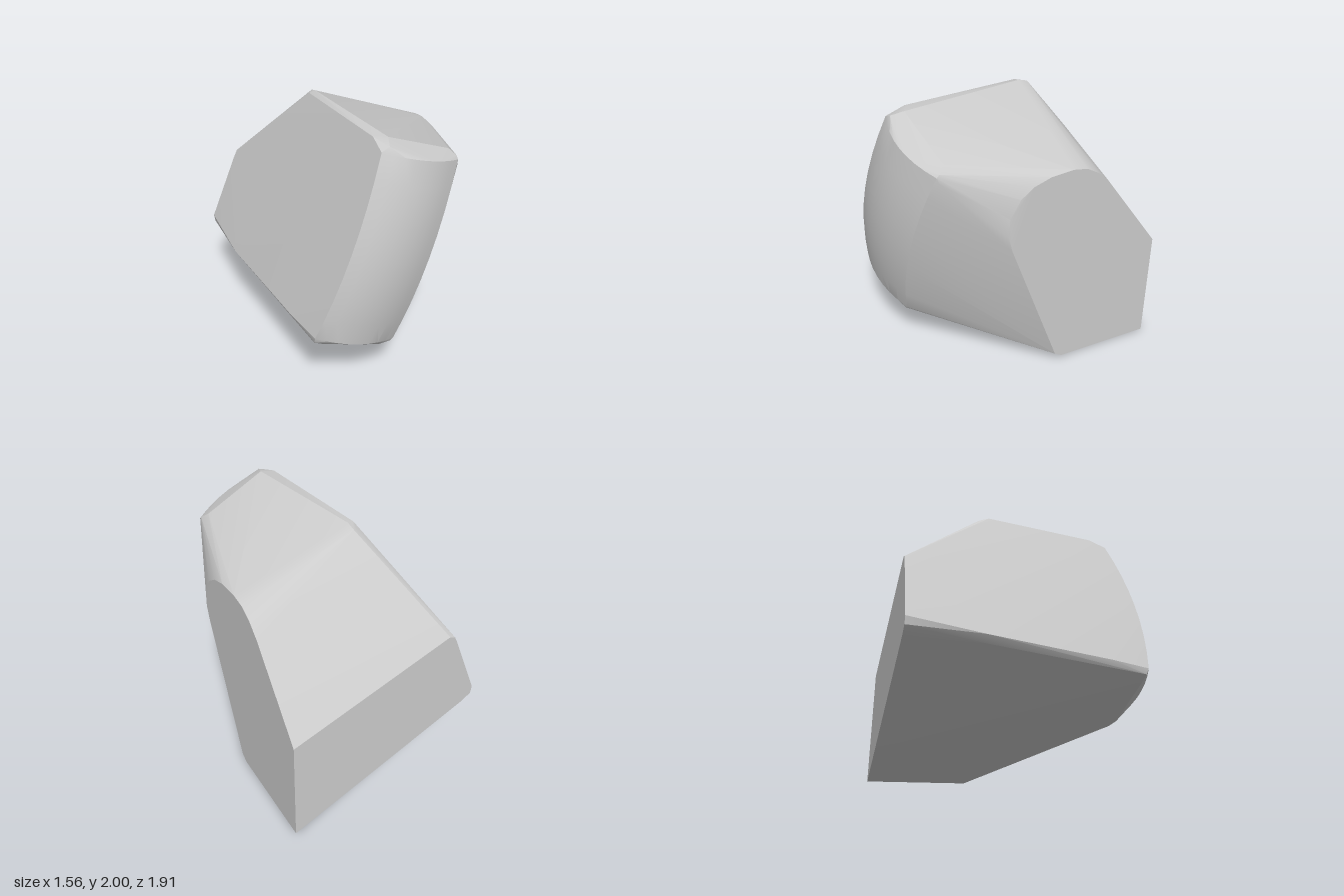
import * as THREE from 'three';
import { ConvexGeometry } from 'three/addons/geometries/ConvexGeometry.js';
import { toCreasedNormals } from 'three/addons/utils/BufferGeometryUtils.js';

const X = 0.78, Z = -0.955;
const V = (x, y, z) => new THREE.Vector3(x, y, z);

// flat cut on the model's left, outline as [z, y]
const sideCut = [
  [Z, 0], [-0.19, 0.04], [-0.13, 0.08], [0.26, 1.16], [0.29, 1.28], [0.28, 1.42], [0.2, 1.55],
  [0.1, 1.62], [-0.03, 1.66], [-0.2, 1.67], [-0.31, 1.65], [-0.41, 1.59], [-0.5, 1.5], [Z, 0.88],
].map(([z, y]) => V(X, y, z));

// flat cut at the back, outline as [x, y]
const backCut = [
  [-0.49, 1.29], [-0.535, 1.27], [-0.56, 1.22], [-0.78, 0.69], [-0.77, 0.63], [-0.7, 0.585],
].map(([x, y]) => V(x, y, Z));

// worn corners and ridges
const corners = [
  // top of the back ridge
  [-0.13, 1.975, -0.25], [-0.12, 1.96, -0.3], [-0.08, 1.965, -0.33], [-0.08, 1.985, -0.26],
  // front peak
  [-0.02, 2, 0.66], [0.07, 2, 0.7], [0.04, 1.975, 0.79], [-0.03, 1.95, 0.72],
  // upper front shoulder
  [0.55, 1.81, 0.64], [0.59, 1.77, 0.69], [0.6, 1.7, 0.69],
  // lower front edge
  [-0.51, 0.6, 0.85], [-0.44, 0.56, 0.84], [0, 0.41, 0.82], [0.1, 0.4, 0.8], [0.14, 0.42, 0.76],
  [0.22, 0.78, 0.81],
  // lower flank edge
  [-0.74, 0.65, -0.4], [-0.58, 0.65, 0.56], [-0.7, 0.6, -0.4],
].map((p) => V(...p));

// bulging front: four corners blended, then swelled forward
function frontFace(n) {
  const topA = V(-0.02, 1.95, 0.8), topB = V(0.59, 1.75, 0.71);
  const lowA = V(-0.51, 0.65, 0.87), lowB = V(0.12, 0.42, 0.8);
  const swell = (t) => 4 * t * (1 - t);
  const pts = [];
  for (let i = 0; i <= n; i++) {
    for (let j = 0; j <= n; j++) {
      const u = i / n, v = j / n;
      const p = topA.clone().lerp(topB, u).lerp(lowA.clone().lerp(lowB, u), v);
      p.z += 0.08 * swell(v) + 0.075 * swell(u);
      pts.push(p);
    }
  }
  return pts;
}

export function createModel() {
  const group = new THREE.Group();
  group.name = 'rock';
  const hull = new ConvexGeometry([...sideCut, ...backCut, ...corners, ...frontFace(8)]);
  const stone = new THREE.Mesh(
    toCreasedNormals(hull, 0.35),
    new THREE.MeshStandardMaterial({ color: 0xcccccc }),
  );
  stone.name = 'stone';
  group.add(stone);
  return group;
}
